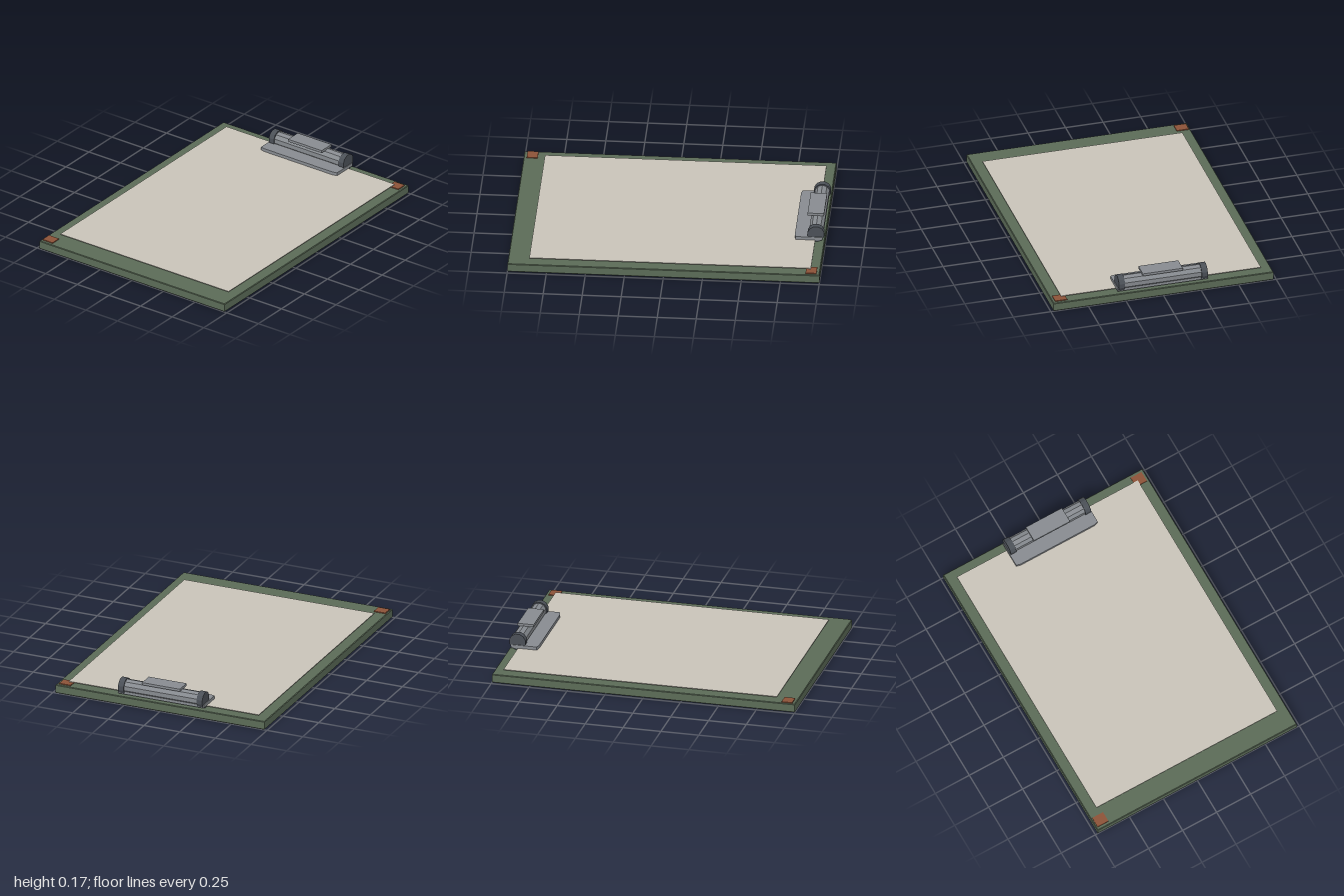
import * as THREE from 'three';

export function createModel() {
  const root = new THREE.Group();
  root.name = 'clipboard';

  const mat = (name, color) => {
    const m = new THREE.MeshStandardMaterial({ color });
    m.name = name;
    return m;
  };
  const green = mat('board green', 0x5b6b57);
  const cream = mat('paper cream', 0xc8c3b8);
  const steel = mat('clip steel', 0x878b90);
  const dark = mat('dark steel', 0x4b5057);
  const rust = mat('worn rust', 0x8c5238);
  steel.flatShading = true;
  dark.flatShading = true;

  const add = (name, geometry, material, x, y, z, parent = root) => {
    const mesh = new THREE.Mesh(geometry, material);
    mesh.name = name;
    mesh.position.set(x, y, z);
    parent.add(mesh);
    return mesh;
  };
  const box = (name, w, h, d, material, x, y, z, parent) =>
    add(name, new THREE.BoxGeometry(w, h, d), material, x, y, z, parent);

  // Horizontal slab from an outline in x and -z, with a small bevel
  const slab = (points, height, bevel) => {
    const shape = new THREE.Shape(points.map(([x, y]) => new THREE.Vector2(x, y)));
    const g = new THREE.ExtrudeGeometry(shape, {
      depth: height - 2 * bevel, bevelEnabled: bevel > 0, bevelThickness: bevel,
      bevelSize: bevel, bevelOffset: -bevel, bevelSegments: 1,
    });
    return g.rotateX(-Math.PI / 2).translate(0, bevel, 0);
  };

  // Board with softened edges
  add('board', slab([[-0.732, -1], [0.732, -1], [0.732, 1], [-0.732, 1]], 0.057, 0.004),
    green, 0, 0, 0);

  // Paper sheet, held just above the board
  box('paper', 1.33, 0.004, 1.805, cream, 0, 0.068, -0.038);

  // Worn patches on two opposite top corners
  box('frontCornerPatch', 0.08, 0.006, 0.07, rust, -0.682, 0.06, 0.945);
  box('backCornerPatch', 0.08, 0.006, 0.07, rust, 0.675, 0.06, -0.945);

  // Thin pads under the front corners
  for (const s of [-1, 1])
    box(s > 0 ? 'leftPad' : 'rightPad', 0.08, 0.003, 0.08, steel, s * 0.685, 0.0015, 0.95);

  // Clip assembly
  const clip = new THREE.Group();
  clip.name = 'clip';
  root.add(clip);

  // Pressing plate with clipped front corners
  add('clipPlate', slab([[-0.3, 0.985], [-0.3, 0.816], [-0.27, 0.808],
    [0.27, 0.808], [0.3, 0.816], [0.3, 0.985]].reverse(), 0.022, 0),
    steel, 0, 0.069, 0, clip);

  // Spring barrel and its darker end collars
  const barrel = (radius, length, sides) => {
    const g = new THREE.CylinderGeometry(radius, radius, length, sides);
    return g.rotateY(Math.PI / sides).rotateZ(Math.PI / 2);
  };
  add('springBarrel', barrel(0.048, 0.53, 10), steel, 0, 0.111, -0.945, clip);
  for (const s of [-1, 1])
    add(s > 0 ? 'leftCollar' : 'rightCollar', barrel(0.055, 0.04, 12), dark,
      s * 0.275, 0.111, -0.945, clip);

  // Thumb lever on top
  box('thumbLever', 0.265, 0.017, 0.105, steel, 0, 0.163, -0.932, clip);

  return root;
}
